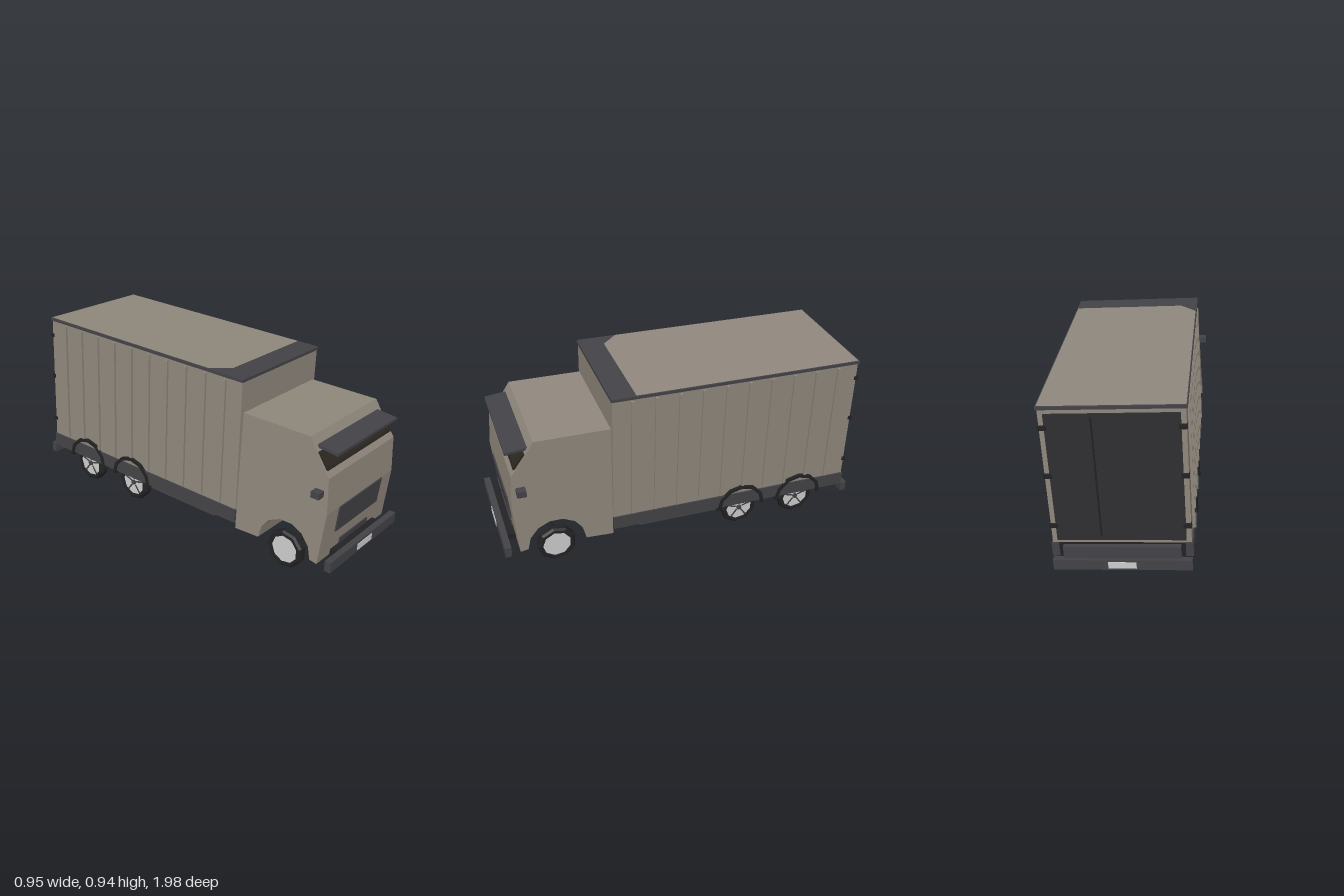
import * as THREE from 'three';

const paint = (color) => new THREE.MeshStandardMaterial({ color, flatShading: true, side: THREE.DoubleSide });

export function createModel() {
  const body = paint(0x8f877c), trim = paint(0x434347), dark = paint(0x2f2f32);
  const black = paint(0x222224), glass = paint(0x2b2721), metal = paint(0xcccccc);

  // The truck sits slightly turned and tilted
  const model = new THREE.Group();
  model.name = 'truck';
  model.rotation.set(0, 0.147, -0.063, 'YXZ');
  const truck = new THREE.Group();
  truck.name = 'truckBody';
  truck.position.x = -0.026;
  model.add(truck);

  const add = (name, geometry, material, parent = truck) => {
    const mesh = new THREE.Mesh(geometry, material);
    mesh.name = name;
    parent.add(mesh);
    return mesh;
  };
  // Box given by its limits on each axis
  const box = (name, mat, x0, x1, y0, y1, z0, z1, parent) => {
    const g = new THREE.BoxGeometry(x1 - x0, y1 - y0, z1 - z0);
    g.translate((x0 + x1) / 2, (y0 + y1) / 2, (z0 + z1) / 2);
    return add(name, g, mat, parent);
  };
  // Side profile of [z, y] points, extruded across x from -half to half
  const profile = (name, mat, points, half) => {
    const shape = new THREE.Shape(points.map(([z, y]) => new THREE.Vector2(z, y)));
    const g = new THREE.ExtrudeGeometry(shape, { depth: half * 2, bevelEnabled: false });
    g.rotateY(-Math.PI / 2).translate(half, 0, 0);
    return add(name, g, mat);
  };
  const arc = (cz, cy, r, n) => Array.from({ length: n + 1 }, (_, i) => {
    const a = Math.PI * i / n;
    return [cz - r * Math.cos(a), cy + r * Math.sin(a)];
  });

  // Cab with the front wheel tunnel cut through it, narrowing at the top
  const cab = profile('cab', body, [
    [0.387, 0.756], [0.387, 0.13], ...arc(0.678, 0.137, 0.15, 7), [0.868, 0.13],
    [0.893, 0.4], [0.882, 0.583], [0.8, 0.7], [0.765, 0.756],
  ], 0.315);
  const pos = cab.geometry.attributes.position;
  for (let i = 0; i < pos.count; i++) {
    pos.setX(i, pos.getX(i) * (1 - 0.08 * Math.max(0, pos.getY(i) - 0.13)));
  }
  cab.geometry.computeVertexNormals();

  // Cab front details
  profile('windscreen', glass, [[0.79, 0.69], [0.84, 0.615], [0.868, 0.615], [0.862, 0.632], [0.82, 0.69]], 0.294);
  profile('sunVisor', trim, [[0.79, 0.702], [0.9, 0.69], [0.9, 0.704], [0.79, 0.716]], 0.275);
  profile('grille', trim, [[0.87, 0.262], [0.887, 0.262], [0.9, 0.4], [0.88, 0.4]], 0.197);
  profile('lowerGrille', trim, [[0.86, 0.165], [0.878, 0.165], [0.881, 0.195], [0.86, 0.195]], 0.13);
  box('frontBumper', trim, -0.315, 0.315, 0.112, 0.168, 0.912, 0.945);
  box('bumperMount', black, -0.2, 0.2, 0.13, 0.16, 0.85, 0.915);
  box('frontPlate', metal, -0.068, 0.068, 0.123, 0.157, 0.94, 0.948);

  // Cargo box, roof and chassis
  box('cargoBox', body, -0.318, 0.318, 0.235, 0.917, -0.92, 0.385);
  box('roofRim', trim, -0.325, 0.325, 0.915, 0.93, -0.926, 0.39);
  const roof = new THREE.Shape([[-0.32, -0.92], [0.32, -0.92], [0.32, 0.265], [-0.24, 0.265], [-0.32, 0.18]]
    .map(([x, z]) => new THREE.Vector2(x, z)));
  add('roofPanel', new THREE.ShapeGeometry(roof).rotateX(Math.PI / 2).translate(0, 0.932, 0), body);
  box('chassis', black, -0.3, 0.3, 0.163, 0.235, -0.92, 0.385);

  // Rear end
  box('rearDoor', dark, -0.295, 0.295, 0.25, 0.895, -0.925, -0.915);
  box('doorBar', black, 0.085, 0.093, 0.27, 0.88, -0.93, -0.92);
  box('rearStep', trim, -0.27, 0.27, 0.155, 0.225, -0.945, -0.9);
  box('rearBumper', trim, -0.32, 0.32, 0.11, 0.163, -0.96, -0.93);
  box('rearPlate', metal, -0.065, 0.065, 0.12, 0.153, -0.964, -0.955);

  // Wheel: eight-sided tyre with a pale rim, outside facing +x
  const wheel = (spokes) => {
    const g = new THREE.Group();
    const w = 0.026;
    const section = [[0.074, -w], [0.09, -w], [0.1, -w * 0.6], [0.1, w * 0.6], [0.09, w], [0.074, w], [0.074, -w]];
    const tyre = new THREE.LatheGeometry(section.map(([r, y]) => new THREE.Vector2(r, y)), 9);
    add('tyre', tyre.rotateZ(-Math.PI / 2), black, g);
    add('rim', new THREE.CylinderGeometry(0.076, 0.076, 0.036, 18).rotateZ(-Math.PI / 2), metal, g);
    for (let i = 0; i < spokes; i++) {
      const s = box('rimSlot', trim, 0.017, 0.021, 0.018, 0.07, -0.004, 0.004, g);
      s.rotation.x = i * Math.PI * 2 / spokes;
    }
    if (spokes) add('hub', new THREE.CylinderGeometry(0.014, 0.014, 0.014, 8).rotateZ(Math.PI / 2).translate(0.02, 0, 0), trim, g);
    return g;
  };

  for (const s of [-1, 1]) {
    const sideName = s > 0 ? 'left' : 'right';
    const side = (name, mat, xa, xb, ...rest) => box(sideName + name, mat, Math.min(s * xa, s * xb), Math.max(s * xa, s * xb), ...rest);

    side('Mirror', trim, 0.3, 0.348, 0.485, 0.517, 0.82, 0.865);
    side('Skirt', trim, 0.29, 0.325, 0.163, 0.236, -0.925, 0.385);
    side('SideGuard', trim, 0.265, 0.3, 0.134, 0.143, -0.22, 0.24);
    side('LowerSideGuard', trim, 0.25, 0.27, 0.152, 0.163, -0.22, 0.0);

    // Vertical ribs on the cargo wall
    for (let i = 0; i < 10; i++) {
      const z = 0.285 - i * 0.1217;
      side('Rib', body, 0.31, 0.33, 0.245, 0.905, z - 0.007, z + 0.007);
    }
    // Door hinges
    for (const y of [0.33, 0.59, 0.83]) side('Hinge', black, 0.285, 0.322, y - 0.01, y + 0.01, -0.933, -0.91);

    // Wheels, and mudguards over the rear pair
    [[0.68, 0], [-0.32, 5], [-0.655, 5]].forEach(([z, spokes], i) => {
      const g = wheel(spokes);
      g.name = sideName + (i ? 'RearWheel' : 'FrontWheel');
      g.position.set(s * 0.285, 0.127, z);
      g.rotation.y = s > 0 ? 0 : Math.PI;
      truck.add(g);
      if (i) {
        const guard = profile(sideName + 'Mudguard', black,
          [...arc(z, 0.147, 0.136, 6), ...arc(z, 0.147, 0.118, 6).reverse()], 0.035);
        guard.position.x = s * 0.297;
      }
    });
  }

  // Axles
  for (const z of [0.68, -0.32, -0.655]) {
    add('axle', new THREE.CylinderGeometry(0.014, 0.014, 0.54, 8).rotateZ(Math.PI / 2).translate(0, 0.127, z), black);
  }
  return model;
}
